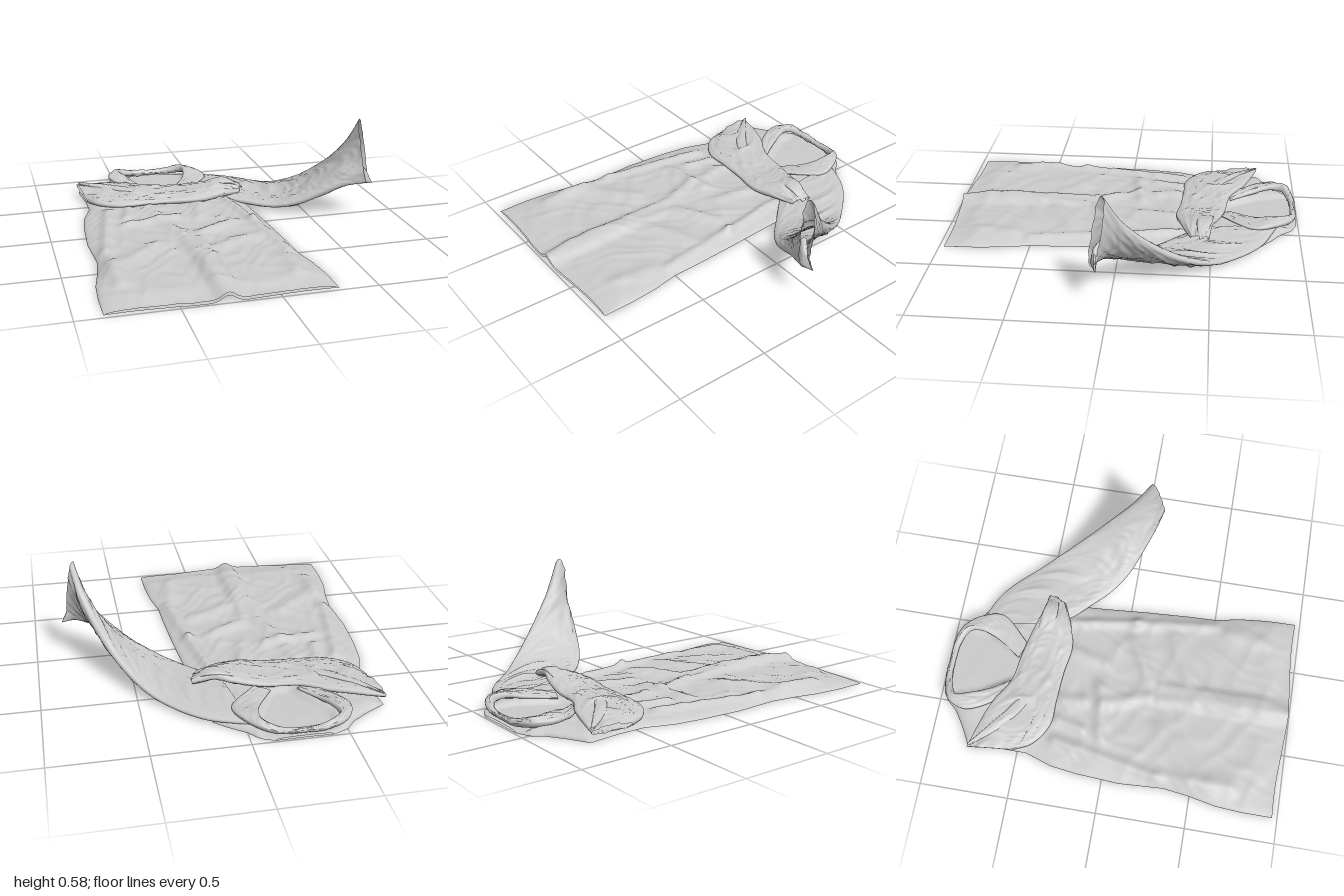
import * as THREE from 'three';

const cloth = new THREE.MeshStandardMaterial({ color: 0xcccccc, side: THREE.DoubleSide, roughness: 0.9 });
const { smoothstep, lerp, clamp } = THREE.MathUtils;

// Linear lookup in rows of [key, a, b]
function lookup(rows, key) {
  let i = 0;
  while (i < rows.length - 2 && key > rows[i + 1][0]) i++;
  const [p, q] = [rows[i], rows[i + 1]];
  const t = clamp((key - p[0]) / (q[0] - p[0]), 0, 1);
  return p.slice(1).map((v, k) => lerp(v, q[k + 1], t));
}

// Sharp crumples: ridged waves bent by slower ones
function crumple(x, z) {
  const p = x + 0.06 * Math.sin(9 * z + 2) + 0.03 * Math.sin(23 * x + 11 * z);
  const q = z + 0.06 * Math.sin(8 * x + 1) + 0.03 * Math.sin(19 * z - 13 * x);
  const r = (v) => 1 - Math.abs(Math.sin(v));
  return 0.5 * r(11 * p + 4 * q) * r(5 * q - 3 * p) + 0.3 * r(17 * q - 9 * p) + 0.2 * r(29 * p + 17 * q);
}

// Rounded fold running from a to b in plan
function fold(x, z, [ax, az, bx, bz, width, height]) {
  const dx = bx - ax, dz = bz - az;
  const t = clamp(((x - ax) * dx + (z - az) * dz) / (dx * dx + dz * dz), 0, 1);
  const d = Math.hypot(x - ax - t * dx, z - az - t * dz) / width;
  return height * Math.exp(-d * d);
}

// Tube-like skin: rows along i, closed loops along j
function skin(name, rows, cols, point) {
  const pos = [], index = [];
  for (let i = 0; i <= rows; i++) {
    for (let j = 0; j < cols; j++) {
      pos.push(...point(i / rows, j));
      if (i === rows) continue;
      const a = i * cols + j, c = i * cols + (j + 1) % cols;
      index.push(a, a + cols, c, c, a + cols, c + cols);
    }
  }
  const geo = new THREE.BufferGeometry();
  geo.setAttribute('position', new THREE.Float32BufferAttribute(pos, 3));
  geo.setIndex(index);
  geo.computeVertexNormals();
  const mesh = new THREE.Mesh(geo, cloth);
  mesh.name = name;
  return mesh;
}

// Flattened tube spanning two edge curves; thick = [t, half thickness] rows
function flatTube(name, edgeA, edgeB, thick, wrinkle, rows = 90, cols = 56) {
  const curve = (pts) => new THREE.CatmullRomCurve3(pts.map((p) => new THREE.Vector3(...p)));
  const A = curve(edgeA), B = curve(edgeB);
  const mid = (t) => A.getPoint(t).add(B.getPoint(t)).multiplyScalar(0.5);
  return skin(name, rows, cols, (t, j) => {
    const m = mid(t), w = A.getPoint(t).sub(m);
    const axis = mid(Math.min(1, t + 0.02)).sub(mid(Math.max(0, t - 0.02))).normalize();
    const n = w.clone().cross(axis).normalize();
    const a = (j / cols) * Math.PI * 2, s = Math.sin(a);
    const h = Math.sign(s) * Math.pow(Math.abs(s), 0.7) * lookup(thick, t)[0];
    m.addScaledVector(w, Math.cos(a));
    m.addScaledVector(n, h + s * wrinkle * (crumple(m.x * 1.3, m.z * 1.3 + s) - 0.35));
    m.y = Math.max(m.y, 0.008);
    return m.toArray();
  });
}

// Plan outline of the body: z, right edge, left edge
const OUTLINE = [
  [-0.99, -0.42, -0.12], [-0.96, -0.5, -0.05], [-0.9, -0.55, 0], [-0.84, -0.64, 0.08], [-0.78, -0.75, 0.15],
  [-0.6, -0.73, 0.2], [-0.45, -0.73, 0.2], [-0.3, -0.78, 0.2], [-0.15, -0.8, 0.21], [0.1, -0.815, 0.23],
  [0.35, -0.8, 0.245], [0.5, -0.82, 0.25], [0.65, -0.85, 0.28], [0.8, -0.86, 0.295], [0.98, -0.86, 0.3],
];
const NECK = [[-0.96, -0.48, -0.05], [-0.8, -0.44, -0.07], [-0.6, -0.32, -0.18], [-0.5, -0.25, -0.25]];
const FOLDS = [
  [-0.64, -0.3, -0.75, 0.3, 0.035, 0.025], [-0.75, 0.3, -0.74, 0.72, 0.045, 0.025], [-0.75, 0.5, -0.76, 0.58, 0.07, 0.025],
  [0.08, -0.33, 0.14, 0.05, 0.03, 0.028], [0.14, 0.05, 0.2, 0.5, 0.035, 0.028], [0.17, 0.6, 0.14, 0.8, 0.05, 0.02],
  [-0.58, -0.05, -0.3, -0.09, 0.04, 0.022], [-0.38, -0.06, -0.3, 0.18, 0.035, 0.022], [0.02, 0.05, -0.2, 0.18, 0.04, 0.022],
  [-0.66, 0.45, -0.45, 0.28, 0.05, 0.018], [-0.16, 0.4, 0.08, 0.28, 0.05, 0.018],
  [-0.4, -0.3, -0.38, -0.18, 0.035, 0.02], [-0.52, -0.3, -0.55, -0.16, 0.03, 0.02], [-0.1, -0.28, -0.14, -0.1, 0.04, 0.018],
  [-0.31, 0.25, -0.3, 0.95, 0.022, 0.012], [-0.22, 0.25, -0.21, 0.95, 0.022, 0.014],
];

// Body: flat double layer, with a pleat arching up from the hem
function body() {
  const N = 90;
  return skin('coatBody', 150, 2 * N, (t, j) => {
    const v = j <= N ? -1 + (2 * j) / N : 3 - (2 * j) / N;
    const u = Math.sin((v * Math.PI) / 2);
    let z = lerp(-0.99, 0.98, t);
    const [xr, xl] = lookup(OUTLINE, z);
    const x = lerp(xr, xl, (u + 1) / 2);
    z += 0.012 * smoothstep(t, 0.9, 1) * Math.cos(7 * x + 2);
    const pleat = 0.035 * Math.exp(-(((x + 0.265) / 0.045) ** 2)) * smoothstep(z, 0.05, 0.6);
    const base = 0.008 + pleat + 0.004 * crumple(x, z) * (1 - u * u);
    if (j > N) return [x, base, z];
    const hem = 1 - 0.6 * smoothstep(z, 0.82, 0.98);
    let h = 0.032 + 0.014 * crumple(x, z);
    for (const f of FOLDS) h += fold(x, z, f);
    h *= hem * smoothstep(z, -1.03, -0.9);
    // Neck opening sinks to the inside of the back
    const [nr, nl] = lookup(NECK, z);
    const open = smoothstep(Math.min(x - nr, nl - x), -0.01, 0.025) * (1 - smoothstep(z, -0.6, -0.54));
    h = lerp(h, 0.012, open);
    return [x, base + h * Math.sqrt(1 - Math.abs(u) ** 5), z];
  });
}

export function createModel() {
  const coat = new THREE.Group();
  coat.name = 'coat';
  coat.add(body());

  // Left sleeve, lying out from the shoulder and lifting to an upright cuff
  coat.add(flatTube('raisedSleeve',
    [[-0.02, 0.04, -0.87], [0.2, 0.035, -0.77], [0.42, 0.05, -0.55], [0.56, 0.14, -0.37], [0.66, 0.27, -0.21],
      [0.73, 0.42, -0.07], [0.77, 0.59, 0.035]],
    [[0.05, 0.035, -0.4], [0.18, 0.035, -0.27], [0.32, 0.045, -0.13], [0.43, 0.08, -0.05], [0.55, 0.14, 0.01],
      [0.68, 0.2, 0.06], [0.81, 0.22, 0.09]],
    [[0, 0.03], [0.3, 0.028], [0.6, 0.035], [0.85, 0.04], [1, 0.035]], 0.025));
  // Flared lower corner of the cuff
  coat.add(flatTube('raisedCuffCorner',
    [[0.74, 0.34, 0.03], [0.78, 0.32, 0.06], [0.81, 0.29, 0.07]],
    [[0.71, 0.215, 0.05], [0.78, 0.215, 0.08], [0.85, 0.21, 0.065]],
    [[0, 0.025], [0.6, 0.02], [1, 0.005]], 0.008, 16, 20));

  // Right sleeve, folded across the chest
  coat.add(flatTube('foldedSleeve',
    [[-0.76, 0.06, -0.78], [-0.62, 0.07, -0.74], [-0.48, 0.075, -0.69], [-0.34, 0.075, -0.61], [-0.16, 0.07, -0.58],
      [0, 0.09, -0.54], [0.09, 0.11, -0.51], [0.21, 0.08, -0.49]],
    [[-0.73, 0.04, -0.52], [-0.68, 0.05, -0.42], [-0.56, 0.055, -0.34], [-0.4, 0.06, -0.33], [-0.24, 0.06, -0.32],
      [-0.08, 0.065, -0.3], [0.04, 0.07, -0.33], [0.18, 0.06, -0.39]],
    [[0, 0.02], [0.15, 0.03], [0.5, 0.025], [0.85, 0.032], [1, 0.02]], 0.025));
  // Creases along the folded sleeve: upper arm overlap, elbow, and cuff edge
  const creases = [
    [[-0.75, 0.085, -0.77], [-0.62, 0.095, -0.64], [-0.45, 0.095, -0.52], [-0.15, 0.085, -0.46], 0.035],
    [[-0.68, 0.08, -0.47], [-0.52, 0.085, -0.41], [-0.34, 0.085, -0.45], [-0.1, 0.085, -0.4], 0.03],
    [[-0.04, 0.1, -0.5], [0.03, 0.122, -0.47], [0.12, 0.128, -0.46], [0.21, 0.085, -0.45], 0.04],
  ];
  for (const c of creases) {
    const w = c[4], pts = c.slice(0, 4), k = [0.3, 1, 1, 0.3];
    coat.add(flatTube('sleeveCrease',
      pts.map(([x, y, z], i) => [x, y - 0.006, z - w * k[i]]),
      pts.map(([x, y, z], i) => [x, y - 0.012, z + w * k[i]]),
      [[0, 0.004], [0.5, 0.014], [1, 0.004]], 0.008, 40, 24));
  }

  // Collar and lapels around the neck
  coat.add(flatTube('collar',
    [[-0.36, 0.06, -0.58], [-0.5, 0.065, -0.72], [-0.55, 0.07, -0.85], [-0.5, 0.06, -0.95], [-0.39, 0.04, -0.985],
      [-0.27, 0.035, -0.985], [-0.14, 0.04, -0.98], [-0.05, 0.06, -0.945], [0.02, 0.07, -0.86], [0.05, 0.065, -0.74],
      [-0.1, 0.06, -0.56]],
    [[-0.33, 0.05, -0.61], [-0.4, 0.06, -0.72], [-0.45, 0.08, -0.83], [-0.47, 0.08, -0.91], [-0.38, 0.06, -0.955],
      [-0.28, 0.055, -0.965], [-0.16, 0.06, -0.955], [-0.08, 0.08, -0.91], [-0.07, 0.08, -0.84], [-0.1, 0.06, -0.74],
      [-0.19, 0.05, -0.6]],
    [[0, 0.01], [0.15, 0.02], [0.3, 0.025], [0.5, 0.015], [0.7, 0.025], [0.85, 0.02], [1, 0.01]], 0.018, 120, 36));
  return coat;
}
